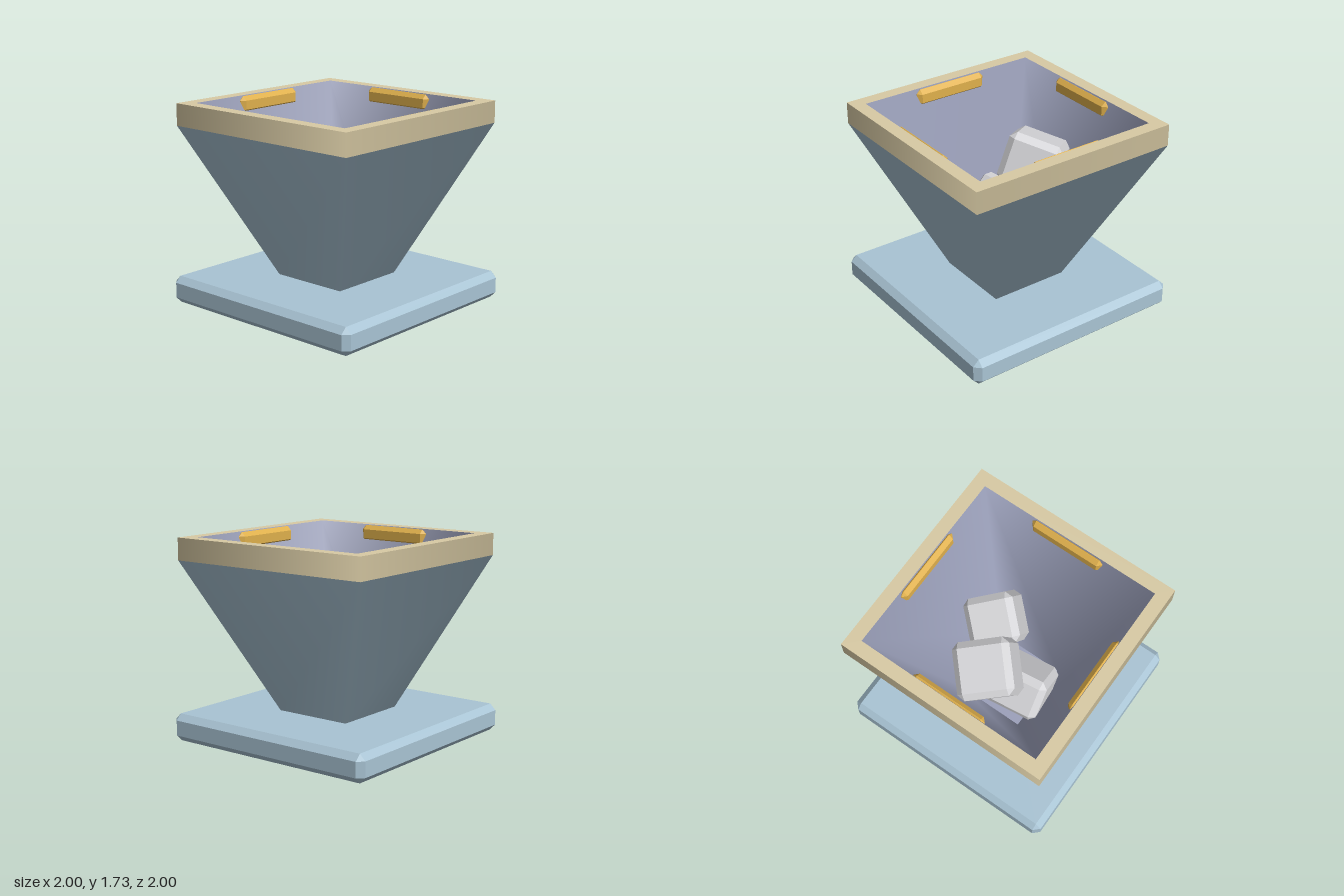
import * as THREE from 'three';
import { ConvexGeometry } from 'three/addons/geometries/ConvexGeometry.js';

const mat = (name, color, extra = {}) => new THREE.MeshStandardMaterial({ name, color, ...extra });

// Box with every edge and corner cut off by c (half sizes hx, hy, hz)
function chamferedBox(hx, hy, hz, c) {
  const points = [];
  for (const x of [-1, 1]) for (const y of [-1, 1]) for (const z of [-1, 1]) {
    points.push(
      new THREE.Vector3(x * hx, y * (hy - c), z * (hz - c)),
      new THREE.Vector3(x * (hx - c), y * hy, z * (hz - c)),
      new THREE.Vector3(x * (hx - c), y * (hy - c), z * hz));
  }
  return new ConvexGeometry(points);
}

// Open square wall with softly shaded corners, given by half widths and heights
function squareWall(topHalf, bottomHalf, y0, y1) {
  const g = new THREE.CylinderGeometry(topHalf * Math.SQRT2, bottomHalf * Math.SQRT2, y1 - y0, 4, 1, true);
  return g.rotateY(Math.PI / 4).translate(0, (y0 + y1) / 2, 0);
}

export function createModel() {
  const metal = mat('blue grey metal', 0xa9c4d4);
  const lining = mat('lilac lining', 0x9ba0ba, { side: THREE.DoubleSide });
  const tan = mat('tan rim', 0xd8caa4);
  const gold = mat('gold bars', 0xdfb04c);
  const stone = mat('pale stone', 0xd4d4d7);

  const model = new THREE.Group();
  model.name = 'hopper';
  const add = (name, geometry, material) => {
    const mesh = new THREE.Mesh(geometry, material);
    mesh.name = name;
    model.add(mesh);
    return mesh;
  };

  // Base plate
  add('base', chamferedBox(1, 0.1175, 1, 0.052).translate(0, 0.1175, 0), metal);

  // Funnel, its lining and floor
  add('funnel', squareWall(0.94, 0.347, 0.23, 1.54), metal);
  add('funnelLining', squareWall(0.825, 0.31, 0.25, 1.73), lining);
  add('funnelFloor', new THREE.PlaneGeometry(0.62, 0.62).rotateX(-Math.PI / 2).translate(0, 0.25, 0), lining);

  // Rim: outer band and flat top
  add('rimBand', squareWall(0.94, 0.94, 1.54, 1.73), tan);
  const rimTop = new THREE.RingGeometry(0.825 * Math.SQRT2, 0.94 * Math.SQRT2, 4, 1, Math.PI / 4);
  add('rimTop', rimTop.rotateX(-Math.PI / 2).translate(0, 1.73, 0), tan);

  // One bar on each inner wall
  for (let i = 0; i < 4; i++) {
    const bar = chamferedBox(0.34, 0.075, 0.038, 0.036).translate(0, 1.65, 0.808);
    add('innerBar', bar.rotateY(i * Math.PI / 2), gold);
  }

  // Rocks: half sizes, position, rotation
  const rocks = [
    [[0.24, 0.225, 0.24], [0, 1.2, -0.3], [-0.4, 0.7, 0]],
    [[0.22, 0.21, 0.22], [0.27, 0.9, 0.19], [-0.55, 0.75, 0.05]],
    [[0.26, 0.21, 0.2], [-0.19, 0.72, -0.11], [-0.85, 0.08, 0.1]],
  ];
  for (const [half, position, rotation] of rocks) {
    const rock = add('rock', chamferedBox(...half, 0.055), stone);
    rock.position.set(...position);
    rock.rotation.set(...rotation);
  }
  return model;
}
